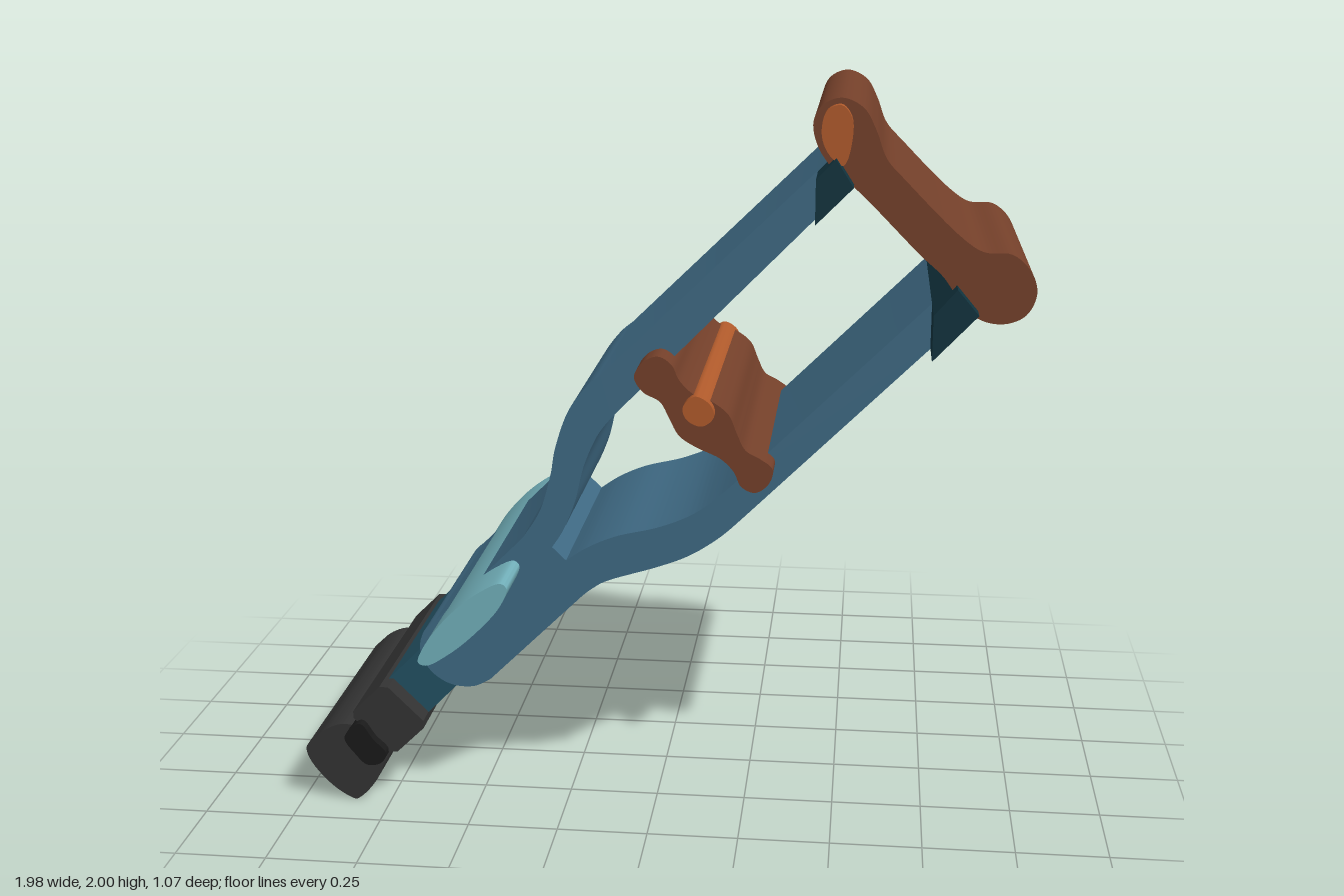
import * as THREE from 'three';
import { toCreasedNormals } from 'three/addons/utils/BufferGeometryUtils.js';

const points = (list) => list.map(([x, y]) => new THREE.Vector2(x, y));

// Smooth closed outline through a few points
function smoothShape(list, steps = 80) {
  const curve = new THREE.CatmullRomCurve3(list.map(([x, y]) => new THREE.Vector3(x, y, 0)), true, 'centripetal');
  return new THREE.Shape(curve.getPoints(steps).slice(0, -1).map((p) => new THREE.Vector2(p.x, p.y)));
}

const polygon = (list) => new THREE.Shape(points(list));

// Solid of a front outline, reaching from -half to +half in z
function addPart(group, name, shape, half, color) {
  const geometry = new THREE.ExtrudeGeometry(shape, { depth: half * 2, bevelEnabled: false, curveSegments: 10 });
  geometry.translate(0, 0, -half);
  const mesh = new THREE.Mesh(toCreasedNormals(geometry, 0.6), new THREE.MeshStandardMaterial({ color }));
  mesh.name = name;
  group.add(mesh);
}

// Forked frame: rounded lower end, two bowed arms
function frameShape() {
  const s = new THREE.Shape();
  s.moveTo(0.45, 1.83);
  s.lineTo(-0.14, 1.255);
  s.splineThru(points([[-0.18, 1.22], [-0.23, 1.15], [-0.265, 1.05], [-0.28, 0.97], [-0.31, 0.87], [-0.36, 0.79]]));
  s.lineTo(-0.61, 0.54);
  s.splineThru(points([[-0.645, 0.505], [-0.657, 0.45], [-0.63, 0.39], [-0.575, 0.352], [-0.51, 0.347], [-0.46, 0.37]]));
  s.lineTo(-0.2, 0.625);
  s.splineThru(points([[-0.17, 0.65], [-0.12, 0.678], [0.01, 0.72], [0.1, 0.757], [0.18, 0.81], [0.24, 0.865]]));
  s.lineTo(0.78, 1.4);
  s.lineTo(0.78, 1.52);
  s.lineTo(0.24, 0.985);
  s.splineThru(points([[0.17, 0.92], [0.1, 0.87], [0.01, 0.833], [-0.1, 0.805], [-0.18, 0.77], [-0.24, 0.73]]));
  s.lineTo(-0.278, 0.767);
  s.splineThru(points([[-0.245, 0.82], [-0.213, 0.9], [-0.188, 1.0], [-0.15, 1.087], [-0.11, 1.14]]));
  s.lineTo(0.45, 1.71);
  return s;
}

export function createModel() {
  const group = new THREE.Group();

  addPart(group, 'frame', frameShape(), 0.345, 0x3f6a84);

  // Underarm pad and its inlay
  addPart(group, 'underarmPad', smoothShape([
    [0.415, 1.94], [0.435, 1.98], [0.485, 2.0], [0.54, 1.975], [0.572, 1.92], [0.6, 1.85], [0.65, 1.795],
    [0.8, 1.65], [0.85, 1.62], [0.92, 1.615], [0.97, 1.57], [0.985, 1.515], [0.96, 1.46], [0.905, 1.437],
    [0.84, 1.45], [0.79, 1.5], [0.75, 1.555], [0.69, 1.61], [0.54, 1.76], [0.46, 1.83], [0.425, 1.885],
  ], 126), 0.44, 0x74402a);
  addPart(group, 'padInlay', smoothShape([
    [0.437, 1.93], [0.45, 1.972], [0.485, 1.985], [0.511, 1.955], [0.512, 1.89], [0.493, 1.836], [0.463, 1.855], [0.442, 1.89],
  ], 40), 0.475, 0xb05a2b);

  // Dark end caps of the arms
  addPart(group, 'upperArmCap', polygon([[0.426, 1.69], [0.52, 1.785], [0.475, 1.855], [0.426, 1.805]]), 0.505, 0x12333e);
  addPart(group, 'lowerArmCap', polygon([[0.727, 1.35], [0.84, 1.47], [0.785, 1.535], [0.727, 1.468]]), 0.505, 0x12333e);

  // Hand grip and its bolt
  addPart(group, 'handGrip', smoothShape([
    [-0.038, 1.275], [-0.015, 1.315], [0.025, 1.331], [0.06, 1.31], [0.08, 1.27], [0.115, 1.235], [0.165, 1.215],
    [0.21, 1.18], [0.232, 1.13], [0.255, 1.085], [0.295, 1.062], [0.327, 1.035], [0.317, 0.995], [0.282, 0.97],
    [0.245, 0.985], [0.225, 1.025], [0.19, 1.06], [0.125, 1.09], [0.08, 1.12], [0.055, 1.165], [0.03, 1.21], [-0.015, 1.235],
  ], 132), 0.44, 0x74402a);
  addPart(group, 'gripBolt', smoothShape([
    [0.093, 1.205], [0.125, 1.235], [0.165, 1.213], [0.174, 1.18], [0.143, 1.155], [0.103, 1.172],
  ], 36), 0.472, 0xb05a2b);

  // Pale panel standing out of the shaft
  addPart(group, 'shaftPanel', smoothShape([
    [-0.617, 0.49], [-0.595, 0.545], [-0.52, 0.637], [-0.44, 0.7], [-0.385, 0.724],
    [-0.37, 0.71], [-0.39, 0.658], [-0.46, 0.578], [-0.535, 0.515], [-0.595, 0.482],
  ], 60), 0.535, 0x72b0ba);

  // Adjustable stem, collar, neck and rubber foot
  addPart(group, 'stem', polygon([[-0.79, 0.315], [-0.685, 0.21], [-0.45, 0.45], [-0.555, 0.55]]), 0.315, 0x235062);
  addPart(group, 'collar', polygon([
    [-0.848, 0.27], [-0.77, 0.347], [-0.745, 0.347], [-0.647, 0.25], [-0.647, 0.228], [-0.725, 0.152], [-0.75, 0.152], [-0.848, 0.25],
  ]), 0.38, 0x333333);
  addPart(group, 'neck', smoothShape([
    [-0.868, 0.2], [-0.845, 0.235], [-0.82, 0.245], [-0.785, 0.2], [-0.75, 0.16], [-0.765, 0.13], [-0.805, 0.122], [-0.84, 0.155],
  ], 48), 0.41, 0x1a1a1a);
  const foot = new THREE.Shape();
  foot.moveTo(-0.845, 0.225);
  foot.splineThru(points([[-0.885, 0.228], [-0.93, 0.21], [-0.965, 0.18], [-0.99, 0.15], [-0.972, 0.1],
    [-0.92, 0.04], [-0.865, 0.003], [-0.84, 0.004], [-0.8, 0.045], [-0.772, 0.095], [-0.768, 0.14]]));
  addPart(group, 'rubberFoot', foot, 0.377, 0x333333);

  return group;
}
